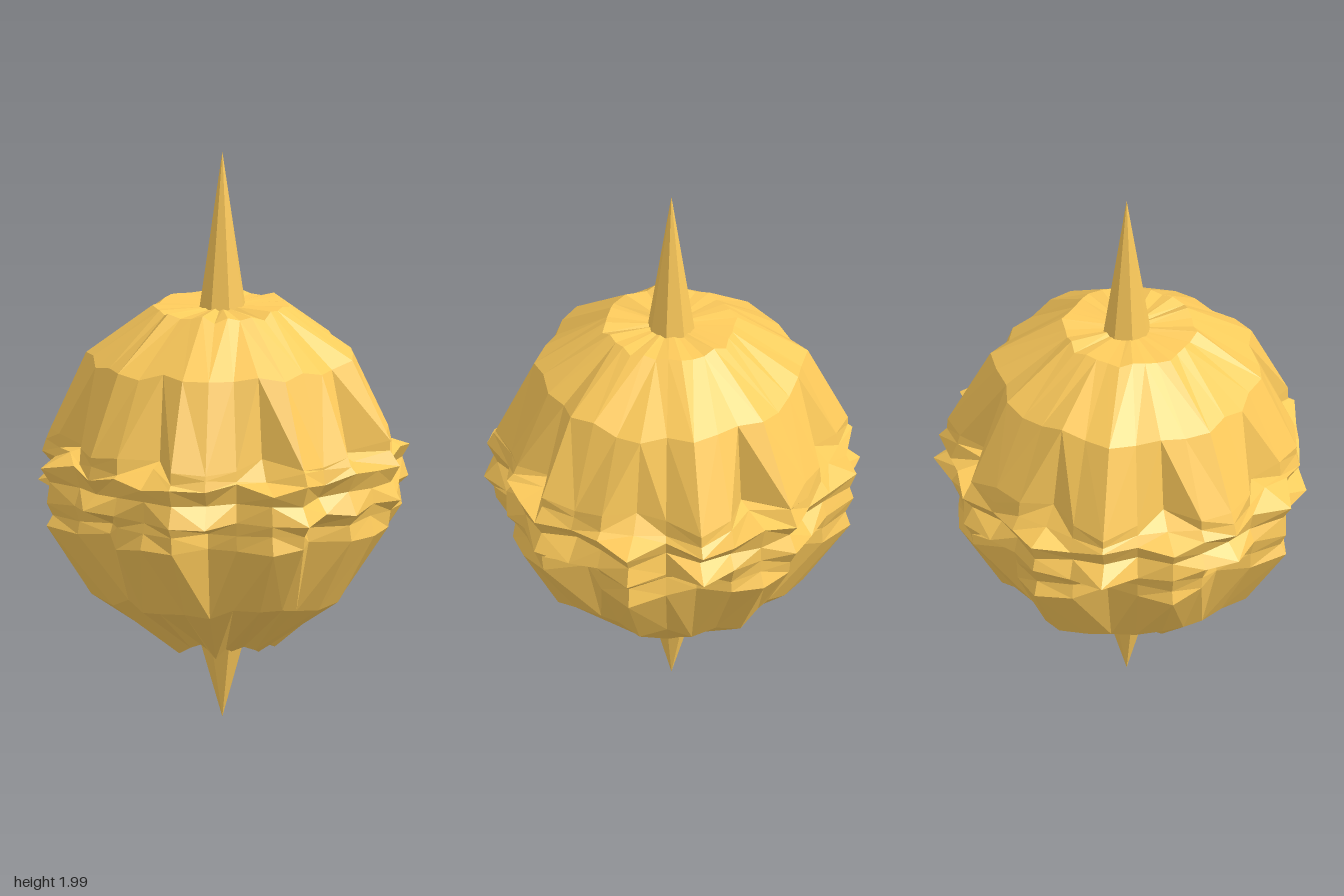
import * as THREE from 'three';

const SIDES = 32;

// Lumpy belt outline: radius every 11.25 degrees, from +x towards +z
const OUTLINE = [
  0.62, 0.61, 0.57, 0.65, 0.64, 0.54, 0.59, 0.65, 0.60, 0.60, 0.61, 0.58, 0.66, 0.59, 0.63, 0.62,
  0.65, 0.59, 0.66, 0.62, 0.68, 0.61, 0.60, 0.65, 0.62, 0.63, 0.68, 0.58, 0.71, 0.63, 0.60, 0.66,
];

// Rings: height, radius, follow outline (0-1), fold at each eighth, fold midway, height wobble
const LOWER = [
  [0.29, 0.07, 0, 0, 0, 0.005],
  [0.265, 0.165, 0, -0.04, 0.02, 0.02],
  [0.46, 0.43, 0.4, 0.02, -0.015, 0.025],
  [0.71, 0.575, 0.6, 0.02, -0.08, 0.015],
];
const BELT = [
  [0.71, 0.575, 0.6, 0.02, -0.08, 0.015],
  [0.765, 0.575, 0.7, 0, -0.09, 0.015],
  [0.81, 0.6, 1, -0.02, 0.015, 0.015],
  [0.87, 0.57, 0.8, 0.01, -0.01, 0.01],
  [0.93, 0.6, 0.9, 0, 0, 0.02],
  [0.965, 0.575, 0.8, -0.07, 0.01, 0.02],
];
const UPPER = [
  [0.965, 0.575, 0.8, -0.07, 0.01, 0.02],
  [1.0, 0.57, 0.8, -0.115, 0.01, 0.02],
  [1.28, 0.45, 0.5, -0.02, 0.01, 0.02],
  [1.45, 0.22, 0, 0, 0.015, 0.012],
  [1.45, 0.07, 0, 0, 0, 0.005],
];

// Repeatable wobble in -1..1
function wobble(a, b) {
  const s = Math.sin(a * 127.1 + b * 311.7) * 43758.5453;
  return (s - Math.floor(s)) * 2 - 1;
}

function ringPoint([y, radius, follow, foldEighth, foldMid, lift], k) {
  const i = k % SIDES;
  const angle = (i / SIDES) * Math.PI * 2;
  const fold = i % 4 === 0 ? foldEighth : i % 4 === 2 ? foldMid : 0;
  const lump = 1 + follow * (OUTLINE[i] / 0.615 - 1);
  const r = radius * lump + fold + wobble(i, y) * 0.008 * follow;
  return [Math.cos(angle) * r, y + lift * wobble(i + 50, y), Math.sin(angle) * r];
}

// Faceted skin through a stack of rings, diagonals mirrored about each fold
function facetedShell(rings) {
  const pos = [];
  for (let j = 0; j < rings.length - 1; j++) {
    for (let k = 0; k < SIDES; k++) {
      const a = ringPoint(rings[j], k), b = ringPoint(rings[j], k + 1);
      const c = ringPoint(rings[j + 1], k), d = ringPoint(rings[j + 1], k + 1);
      if (k % 4 < 2) pos.push(...a, ...c, ...b, ...b, ...c, ...d);
      else pos.push(...a, ...c, ...d, ...a, ...d, ...b);
    }
  }
  const g = new THREE.BufferGeometry();
  g.setAttribute('position', new THREE.Float32BufferAttribute(pos, 3));
  g.computeVertexNormals();
  return g;
}

export function createModel() {
  const group = new THREE.Group();
  group.name = 'ornament';
  const gold = new THREE.MeshStandardMaterial({ color: 0xffcc5c, flatShading: true });
  const add = (name, geometry) => {
    const mesh = new THREE.Mesh(geometry, gold);
    mesh.name = name;
    group.add(mesh);
    return mesh;
  };

  // Folded body halves joined by the jagged belt
  add('lowerBody', facetedShell(LOWER));
  add('belt', facetedShell(BELT));
  add('upperBody', facetedShell(UPPER));

  // Tall finial on top
  const top = add('topSpike', new THREE.ConeGeometry(0.083, 0.55, 8));
  top.position.set(0, 1.715, -0.01);

  // Short point below
  const bottom = add('bottomSpike', new THREE.ConeGeometry(0.085, 0.29, 8));
  bottom.rotation.x = Math.PI;
  bottom.position.set(0, 0.145, -0.01);

  return group;
}
